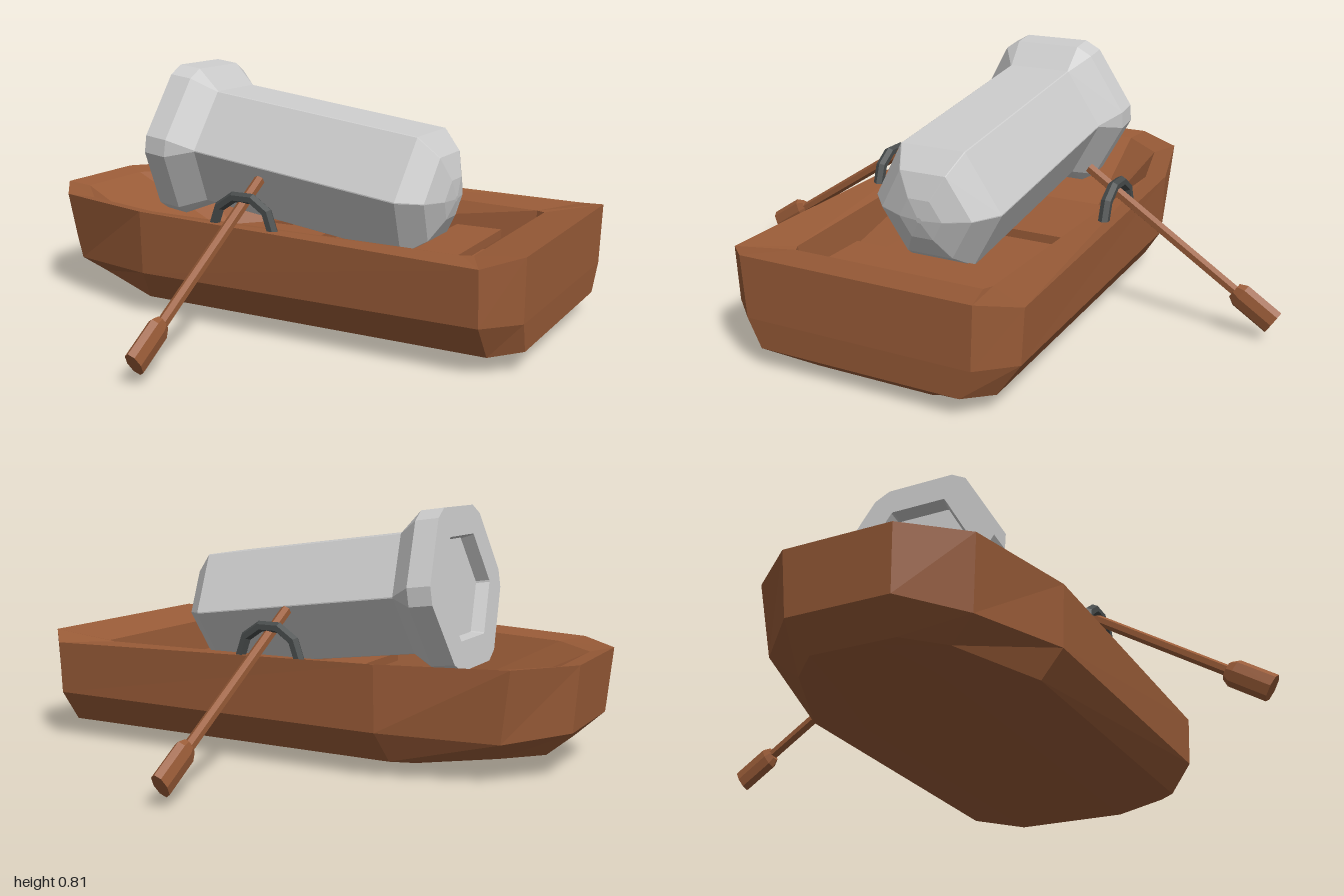
import * as THREE from 'three';

const wood = new THREE.MeshStandardMaterial({ color: 0x9a5c38, flatShading: true });
const iron = new THREE.MeshStandardMaterial({ color: 0x484c4c, flatShading: true });
const grey = new THREE.MeshStandardMaterial({ color: 0xcccccc, flatShading: true });

// Skin a stack of equal-sized closed loops and close both ends
function loft(rings) {
  const n = rings[0].length, pos = [];
  const tri = (a, b, c) => pos.push(...a, ...b, ...c);
  const cap = (r, flip) => {
    for (let i = 0; i < n / 2 - 1; i++) {
      const a = r[i], b = r[i + 1], c = r[n - 2 - i], d = r[n - 1 - i];
      if (flip) { tri(a, c, b); tri(a, d, c); } else { tri(a, b, c); tri(a, c, d); }
    }
  };
  for (let k = 0; k < rings.length - 1; k++) {
    for (let i = 0; i < n; i++) {
      const j = (i + 1) % n, lo = rings[k], hi = rings[k + 1];
      tri(lo[i], lo[j], hi[j]);
      tri(lo[i], hi[j], hi[i]);
    }
  }
  cap(rings[0], true);
  cap(rings[rings.length - 1], false);
  const g = new THREE.BufferGeometry();
  g.setAttribute('position', new THREE.Float32BufferAttribute(pos, 3));
  g.computeVertexNormals();
  return g;
}

function add(parent, name, geometry, material, x = 0, y = 0, z = 0) {
  const m = new THREE.Mesh(geometry, material);
  m.name = name;
  m.position.set(x, y, z);
  parent.add(m);
  return m;
}

// Mirror a bow-to-stern half outline into a closed loop
const mirrored = half => [...half, ...half.map(([x, y, z]) => [x, y, -z]).reverse()];

// Six-sided loop whose corners are chamfered by an angle in degrees
function hexLoop(s, r, chamfer) {
  const pts = [];
  for (let k = 0; k < 6; k++) {
    for (const side of [-1, 1]) {
      const t = THREE.MathUtils.degToRad(30 + 60 * k + side * chamfer);
      pts.push([r * Math.cos(t), s, -r * Math.sin(t)]);
    }
  }
  return pts;
}

export function createModel() {
  const boat = new THREE.Group();
  boat.name = 'rowingBoat';

  // Hull: keel, bilge, chine, gunwale, inner rim, floor
  add(boat, 'hull', loft([
    [[-0.79, 0.063, 0.08], [-0.62, 0.035, 0.16], [-0.4, 0, 0.2], [0.81, 0, 0.2], [0.85, 0.03, 0.19]],
    [[-0.81, 0.066, 0.14], [-0.7, 0.065, 0.25], [-0.4, 0.05, 0.39], [0.81, 0.053, 0.41], [0.9, 0.065, 0.34]],
    [[-0.9, 0.15, 0.17], [-0.735, 0.13, 0.335], [-0.38, 0.15, 0.455], [0.81, 0.16, 0.485], [0.907, 0.16, 0.38]],
    [[-0.92, 0.36, 0.18], [-0.77, 0.36, 0.36], [-0.38, 0.36, 0.463], [0.81, 0.335, 0.495], [0.912, 0.36, 0.39]],
    [[-0.85, 0.345, 0.15], [-0.7, 0.345, 0.305], [-0.39, 0.345, 0.385], [0.7, 0.325, 0.34], [0.73, 0.325, 0.325]],
    [[-0.5, 0.17, 0.16], [-0.46, 0.17, 0.2], [-0.37, 0.17, 0.3], [0.69, 0.17, 0.325], [0.72, 0.17, 0.31]],
  ].map(mirrored)), wood);

  // Plank seats
  add(boat, 'middleSeat', new THREE.BoxGeometry(0.16, 0.03, 0.65), wood, 0, 0.235, 0);
  add(boat, 'sternSeat', new THREE.BoxGeometry(0.165, 0.03, 0.63), wood, 0.5, 0.235, 0);

  // Tilted six-sided barrel: recessed mouth, flange, body, rounded nose
  const barrel = add(boat, 'barrel', loft([
    hexLoop(0.045, 0.18, 1), hexLoop(0, 0.19, 1),
    hexLoop(0, 0.285, 6), hexLoop(0.08, 0.285, 6),
    hexLoop(0.161, 0.225, 0.5), hexLoop(0.917, 0.225, 0.5),
    hexLoop(0.99, 0.16, 0.5), hexLoop(1.025, 0.075, 0.5), hexLoop(1.035, 0.01, 0.5),
  ]), grey, -0.485, 0.55, 0);
  barrel.rotation.z = THREE.MathUtils.degToRad(-97.6);

  // Oar and oarlock on each side
  const start = new THREE.Vector3(0, 0.48, 0.33), end = new THREE.Vector3(-0.015, 0.065, 0.975);
  const axis = end.clone().sub(start), length = axis.length();
  for (const side of ['left', 'right']) {
    const rig = new THREE.Group();
    rig.name = side + 'OarSet';
    rig.rotation.y = side === 'left' ? 0 : Math.PI;
    boat.add(rig);

    const oar = new THREE.Group();
    oar.name = 'oar';
    oar.position.copy(start);
    oar.quaternion.setFromUnitVectors(new THREE.Vector3(0, 1, 0), axis.normalize());
    rig.add(oar);
    start.copy(oar.position);
    add(oar, 'shaft', new THREE.CylinderGeometry(0.018, 0.018, length - 0.1, 6), wood, 0, (length - 0.1) / 2, 0);
    const blade = add(oar, 'blade', new THREE.CylinderGeometry(0.045, 0.045, 0.13, 8), wood, 0, length - 0.065, 0);
    blade.scale.x = 0.55;
    const neck = add(oar, 'bladeNeck', new THREE.CylinderGeometry(0.045, 0.03, 0.025, 8), wood, 0, length - 0.1425, 0);
    neck.scale.x = 0.55;

    const lock = add(rig, 'oarlock', new THREE.TorusGeometry(0.107, 0.019, 6, 5, Math.PI), iron, 0, 0.345, 0.43);
    lock.scale.y = 0.93;
  }
  return boat;
}
